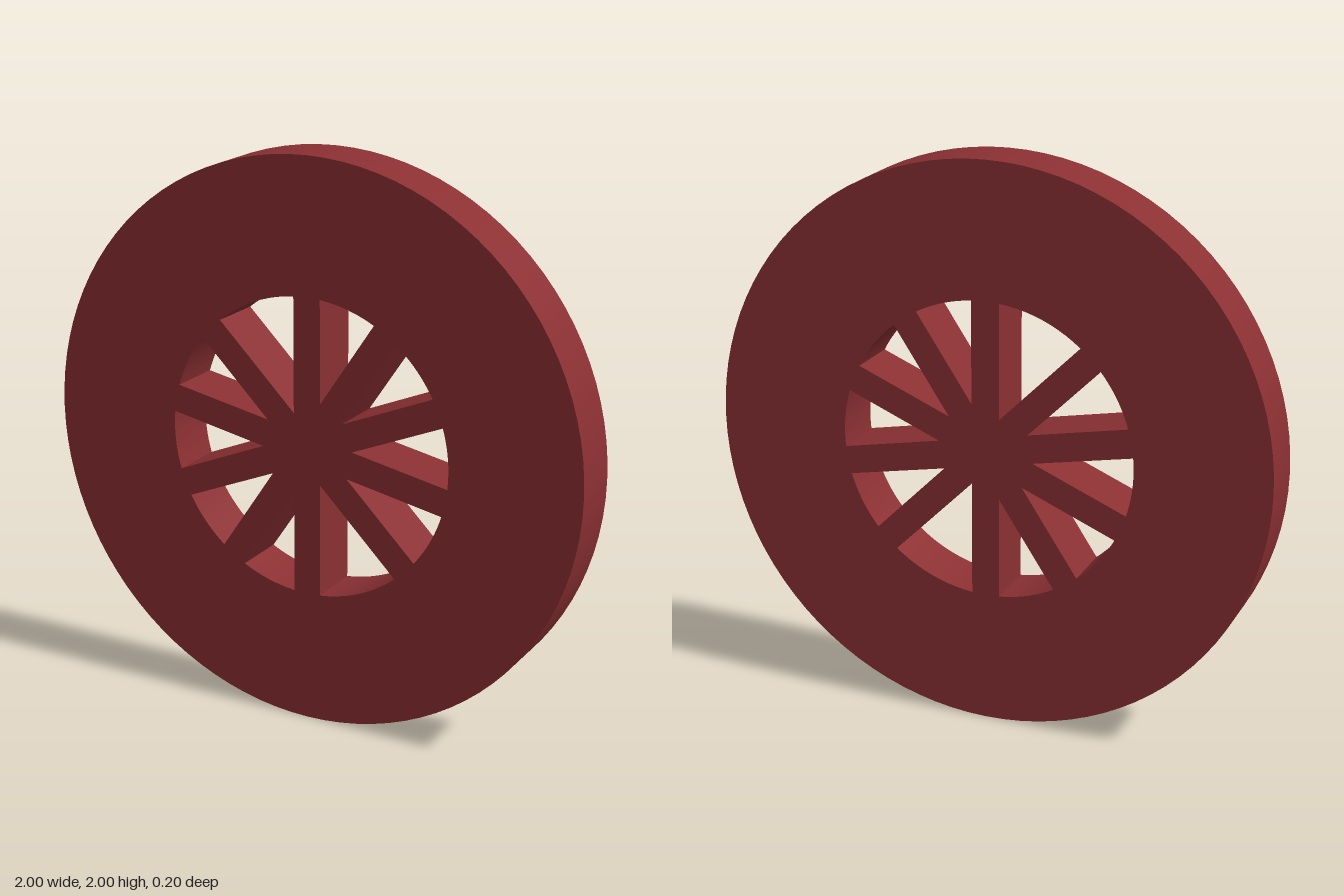
import * as THREE from 'three';
import { toCreasedNormals } from 'three/addons/utils/BufferGeometryUtils.js';

const RIM = 1, OPENING = 0.528, HALF_SPOKE = 0.05, DEPTH = 0.2;

// Wedge-shaped opening between two spokes pointing at angles a and b
function opening(a, b) {
  const mid = (a + b) / 2;
  const tip = HALF_SPOKE / Math.sin((b - a) / 2);
  const inset = Math.asin(HALF_SPOKE / OPENING);
  const points = [new THREE.Vector2(Math.cos(mid) * tip, Math.sin(mid) * tip)];
  const steps = 10;
  for (let i = 0; i <= steps; i++) {
    const t = THREE.MathUtils.lerp(a + inset, b - inset, i / steps);
    points.push(new THREE.Vector2(Math.cos(t) * OPENING, Math.sin(t) * OPENING));
  }
  return new THREE.Path(points);
}

export function createModel() {
  const model = new THREE.Group();
  model.name = 'spokedWheel';

  // Five bars through the centre, each giving two opposite spokes
  const angles = [];
  for (let i = 0; i < 5; i++) {
    const angle = THREE.MathUtils.degToRad(90 - 33.75 * i);
    angles.push(angle, angle + Math.PI);
  }
  angles.sort((p, q) => p - q);

  // Solid disc with the gaps between the spokes cut through
  const disc = new THREE.Shape();
  disc.absarc(0, 0, RIM, 0, Math.PI * 2, false);
  angles.forEach((a, i) => {
    const b = i + 1 < angles.length ? angles[i + 1] : angles[0] + Math.PI * 2;
    disc.holes.push(opening(a, b));
  });

  const geometry = new THREE.ExtrudeGeometry(disc, {
    depth: DEPTH, bevelEnabled: false, curveSegments: 48,
  });
  geometry.translate(0, RIM, -DEPTH / 2);

  const wheel = new THREE.Mesh(
    toCreasedNormals(geometry, Math.PI / 6),
    new THREE.MeshStandardMaterial({ color: 0x8b3033 }),
  );
  wheel.name = 'wheel';
  model.add(wheel);
  return model;
}
